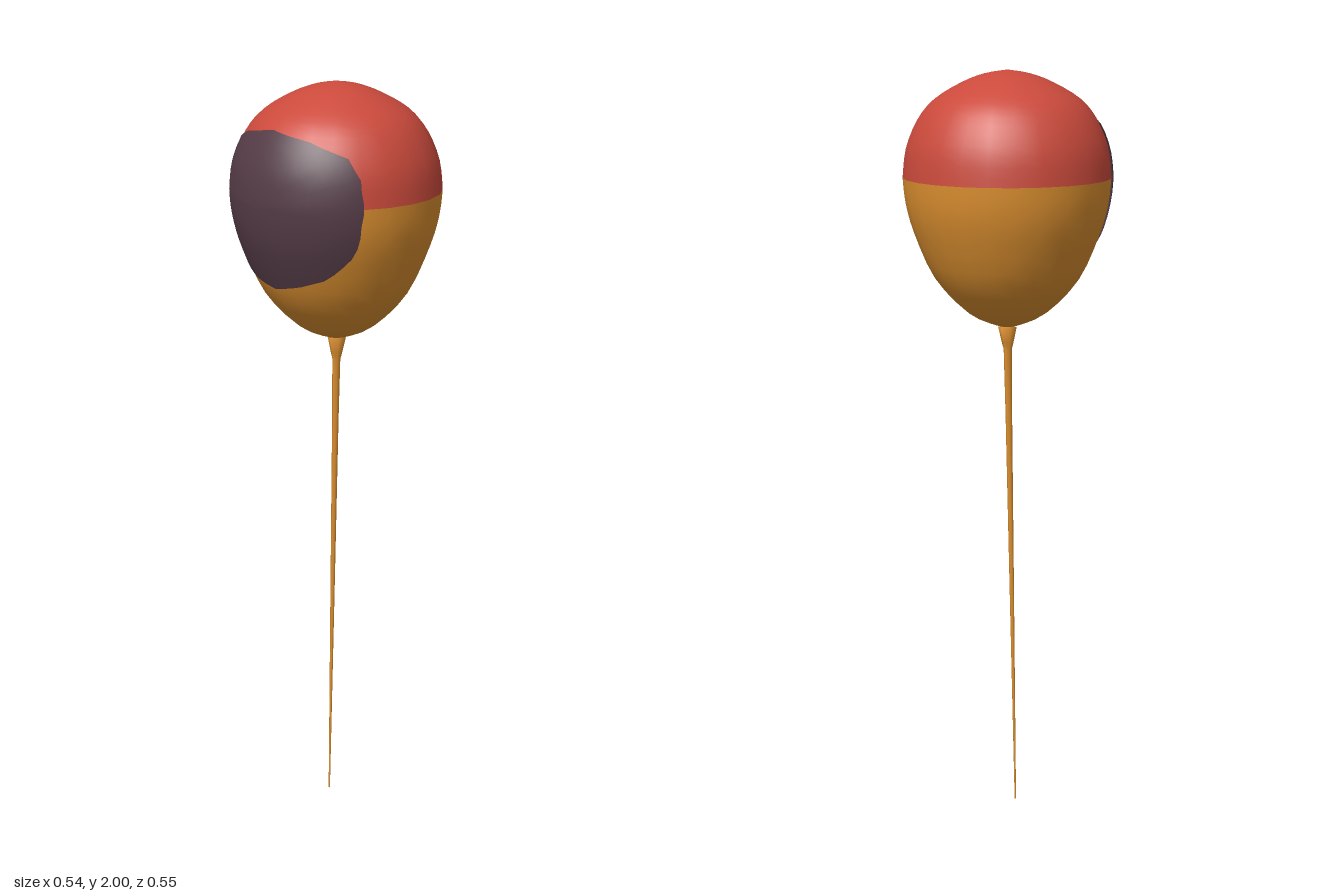
import * as THREE from 'three';

const V = (x, y) => new THREE.Vector2(x, y);
const MID = 1.725; // height of the colour split

// half-profile of the balloon, bottom to top
const lower = [V(0, 1.332), V(0.03, 1.336), V(0.106, 1.372), V(0.19, 1.462), V(0.243, 1.58), V(0.265, 1.66), V(0.272, MID)];
const upper = [V(0.272, MID), V(0.263, 1.80), V(0.233, 1.873), V(0.19, 1.925), V(0.12, 1.967), V(0.06, 1.99), V(0, 2)];
const lowerCurve = new THREE.SplineCurve(lower).getPoints(18);
const upperCurve = new THREE.SplineCurve(upper).getPoints(18);
const profile = [...lowerCurve, ...upperCurve.slice(1)];

// balloon radius at a height
function radiusAt(y) {
  for (let i = 1; i < profile.length; i++) {
    const a = profile[i - 1], b = profile[i];
    if (y <= b.y) return THREE.MathUtils.mapLinear(y, a.y, b.y, a.x, b.x);
  }
  return 0;
}

// thin front panel that follows the balloon's curve
function panelGeometry() {
  const half = [V(0, 1.497), V(0.075, 1.512), V(0.15, 1.54), V(0.2, 1.59), V(0.223, 1.635),
    V(0.238, 1.725), V(0.226, 1.80), V(0.195, 1.85), V(0.11, 1.885), V(0, 1.902)];
  const mirrored = half.slice(1, -1).reverse().map(p => V(-p.x, p.y));
  const outline = new THREE.Shape([...half, ...mirrored, half[0]]).getSpacedPoints(48);
  const n = outline.length - 1, rings = 12, cy = 1.71;
  const pos = [], index = [];
  const add = (x, y) => {
    const r = radiusAt(y);
    pos.push(x * 1.015, y, Math.sqrt(Math.max(r * r - x * x, 0)) * 1.015);
  };
  add(0, cy);
  for (let k = 1; k <= rings; k++) {
    const t = Math.sin((k / rings) * Math.PI / 2);
    for (let j = 0; j < n; j++) add(outline[j].x * t, cy + (outline[j].y - cy) * t);
  }
  for (let j = 0; j < n; j++) {
    const j2 = (j + 1) % n;
    index.push(0, 1 + j, 1 + j2);
    for (let k = 0; k < rings - 1; k++) {
      const a = 1 + k * n + j, b = 1 + k * n + j2;
      index.push(a, a + n, b + n, a, b + n, b);
    }
  }
  const g = new THREE.BufferGeometry();
  g.setAttribute('position', new THREE.Float32BufferAttribute(pos, 3));
  g.setIndex(index);
  g.computeVertexNormals();
  return g;
}

export function createModel() {
  const group = new THREE.Group();
  const material = (name, color) => {
    const m = new THREE.MeshStandardMaterial({ color });
    m.name = name;
    return m;
  };
  const red = material('red', 0xcb4a3c);
  const orange = material('orange', 0xdd9030);
  const plum = material('plum', 0x553c47);
  const add = (name, geometry, mat) => {
    const mesh = new THREE.Mesh(geometry, mat);
    mesh.name = name;
    group.add(mesh);
  };

  // balloon halves
  add('balloonTop', new THREE.LatheGeometry(upperCurve, 24), red);
  add('balloonBottom', new THREE.LatheGeometry(lowerCurve, 24), orange);
  plum.side = THREE.DoubleSide;
  add('frontPanel', panelGeometry(), plum);

  // flared knot and tapering string, leaning slightly towards its tip
  const string = new THREE.LatheGeometry([V(0, 0), V(0.002, 0), V(0.006, 0.6), V(0.009, 1.1),
    V(0.011, 1.27), V(0.016, 1.29), V(0.025, 1.33), V(0, 1.338)], 6);
  const p = string.attributes.position;
  for (let i = 0; i < p.count; i++) {
    const t = Math.max(0, 1 - p.getY(i) / 1.33);
    p.setX(i, p.getX(i) - 0.024 * t);
    p.setZ(i, p.getZ(i) + 0.006 * t);
  }
  string.computeVertexNormals();
  add('knotAndString', string, orange);

  return group;
}
